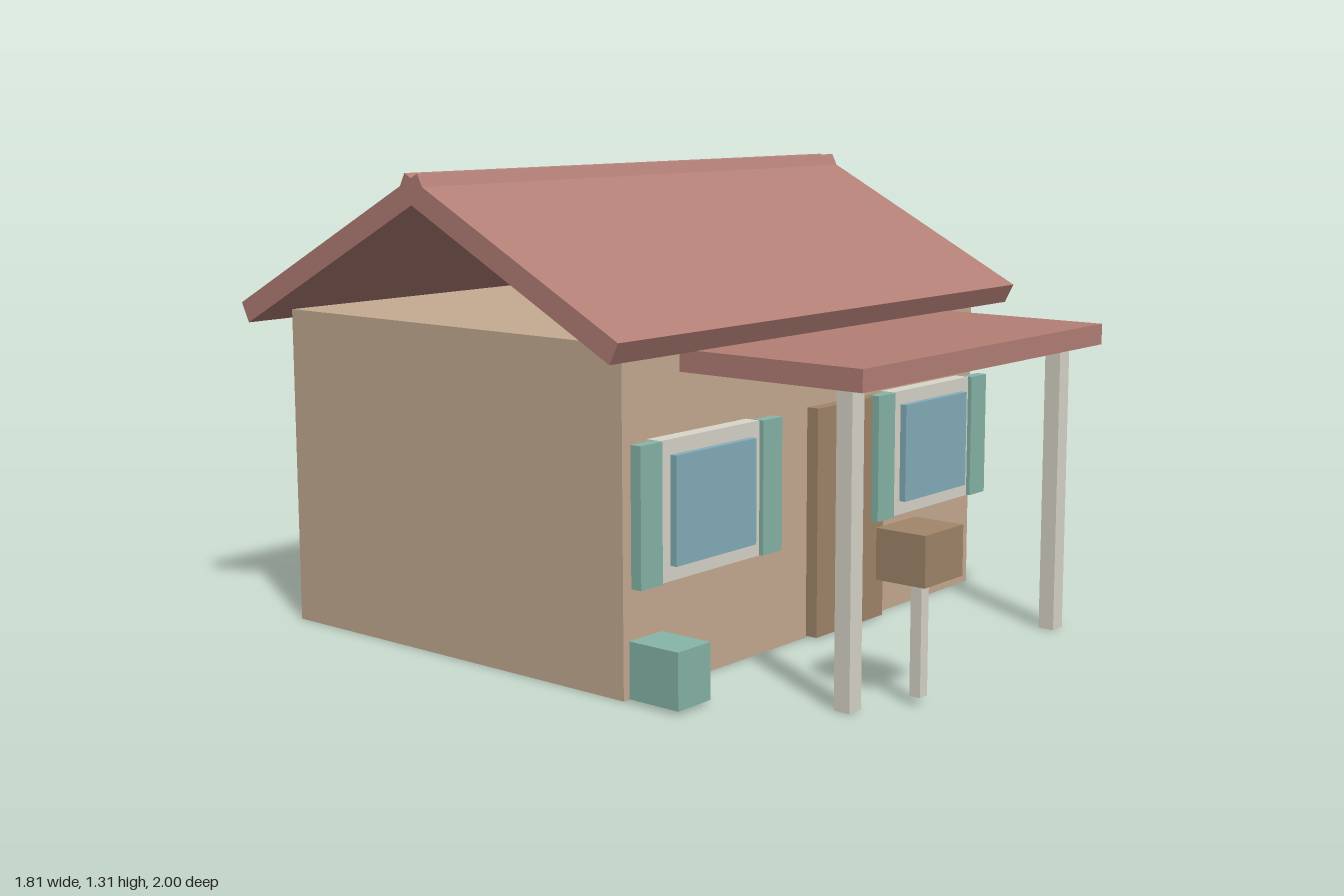
import * as THREE from 'three';

const mat = (color) => new THREE.MeshStandardMaterial({ color });
const wall = mat(0xc6ac92), roof = mat(0xb37f76), wood = mat(0xa1866a);
const cream = mat(0xd9d6ca), green = mat(0x87b5a9), blue = mat(0x84aeba);

// Box given by its extents along each axis
function box(name, material, [x0, x1], [y0, y1], [z0, z1]) {
  const mesh = new THREE.Mesh(new THREE.BoxGeometry(x1 - x0, y1 - y0, z1 - z0), material);
  mesh.name = name;
  mesh.position.set((x0 + x1) / 2, (y0 + y1) / 2, (z0 + z1) / 2);
  return mesh;
}

// Framed window with a shutter on each side
function makeWindow(name, x) {
  const group = new THREE.Group();
  group.name = name;
  group.position.x = x;
  group.add(
    box('windowFrame', cream, [-0.2, 0.2], [0.295, 0.66], [0.35, 0.395]),
    box('windowGlass', blue, [-0.162, 0.162], [0.335, 0.62], [0.38, 0.415])
  );
  for (const s of [-1, 1]) {
    const c = s * 0.245;
    group.add(box('shutter', green, [c - 0.041, c + 0.041], [0.295, 0.66], [0.372, 0.405]));
  }
  return group;
}

export function createModel() {
  const house = new THREE.Group();
  house.name = 'house';

  house.add(box('walls', wall, [-0.8, 0.8], [0, 0.905], [-0.91, 0.345]));

  // Two tilted roof slabs crossing at the ridge
  const ridgeZ = -0.285, pitch = THREE.MathUtils.degToRad(27.4);
  for (const s of [-1, 1]) {
    const slab = new THREE.Mesh(new THREE.BoxGeometry(1.81, 0.062, 0.832), roof);
    slab.name = s > 0 ? 'roofFront' : 'roofBack';
    slab.position.set(0, 1.091, ridgeZ + s * 0.331);
    slab.rotation.x = s * pitch;
    house.add(slab);
  }

  // Porch roof on two posts
  house.add(box('porchRoof', roof, [-0.58, 0.58], [0.815, 0.873], [0.34, 0.913]));
  for (const x of [-0.5, 0.495]) {
    house.add(box('porchPost', cream, [x - 0.025, x + 0.025], [0, 0.816], [0.798, 0.845]));
  }

  // Door and windows
  house.add(box('door', wood, [-0.035, 0.287], [0.005, 0.655], [0.34, 0.382]));
  house.add(makeWindow('leftWindow', 0.511), makeWindow('rightWindow', -0.513));

  // Planter by the corner
  house.add(box('planter', green, [-0.8, -0.675], [0.01, 0.16], [0.365, 0.525]));

  // Mailbox on its post
  const mailbox = new THREE.Group();
  mailbox.name = 'mailbox';
  mailbox.add(
    box('mailboxBody', wood, [-0.432, -0.263], [0.325, 0.456], [0.855, 1]),
    box('mailboxPost', cream, [-0.364, -0.332], [0.022, 0.326], [0.914, 0.946])
  );
  house.add(mailbox);

  return house;
}
